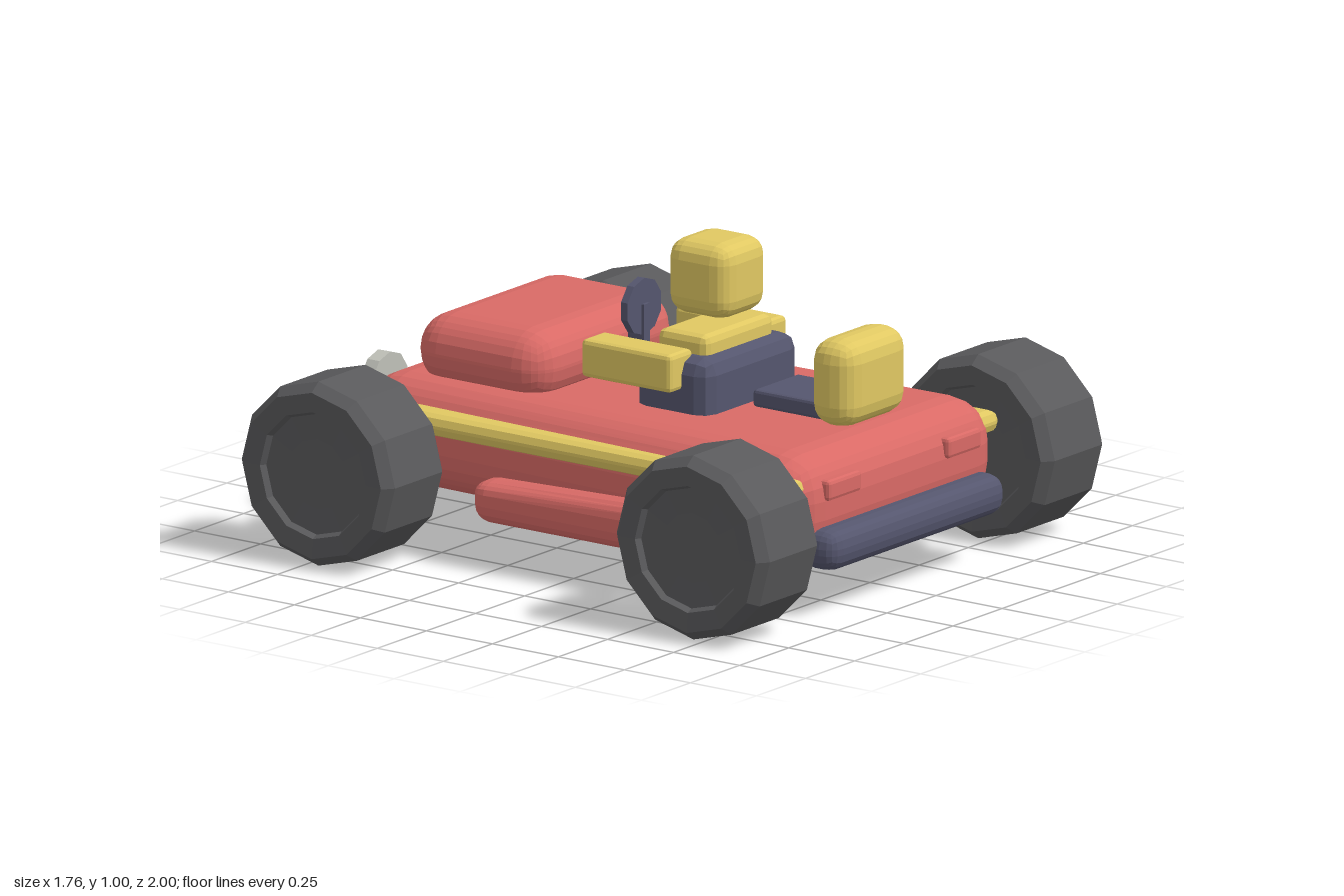
import * as THREE from 'three';
import { RoundedBoxGeometry } from 'three/addons/geometries/RoundedBoxGeometry.js';

const paint = (color) => new THREE.MeshStandardMaterial({ color, flatShading: true });

export function createModel() {
  const car = new THREE.Group();
  car.name = 'buggy';
  const red = paint(0xd96a66);
  const yellow = paint(0xe0c862);
  const navy = paint(0x55566e);
  const rubber = paint(0x5a5a5c);
  const glass = paint(0xbfc0b8);

  function add(name, geometry, material, x = 0, y = 0, z = 0) {
    const mesh = new THREE.Mesh(geometry, material);
    mesh.name = name;
    mesh.position.set(x, y, z);
    car.add(mesh);
    return mesh;
  }

  // Rounded block given by its limits on each axis
  function block(name, material, [x0, x1], [y0, y1], [z0, z1], radius, segments = 2) {
    const geometry = new RoundedBoxGeometry(x1 - x0, y1 - y0, z1 - z0, segments, radius);
    return add(name, geometry, material, (x0 + x1) / 2, (y0 + y1) / 2, (z0 + z1) / 2);
  }

  // Moves every vertex of a mesh by a rule
  function reshape(mesh, rule) {
    const pos = mesh.geometry.attributes.position;
    const v = new THREE.Vector3();
    for (let i = 0; i < pos.count; i++) {
      rule(v.fromBufferAttribute(pos, i));
      pos.setXYZ(i, v.x, v.y, v.z);
    }
    mesh.geometry.computeVertexNormals();
  }

  // Body, narrowing towards -z
  const body = block('body', red, [-0.505, 0.505], [0.16, 0.5], [-0.875, 0.87], 0.14, 3);
  reshape(body, (v) => { v.x *= 1 + 0.06 * v.z / 0.87; });
  block('hood', red, [-0.365, 0.365], [0.455, 0.685], [-0.735, -0.228], 0.11, 3);

  // Bumpers
  block('frontBumper', navy, [-0.45, 0.45], [0.15, 0.28], [0.8, 0.945], 0.055);
  block('rearBumper', navy, [-0.45, 0.45], [0.15, 0.28], [-0.945, -0.8], 0.055);

  // Seat, driver's trunk and head
  block('seat', navy, [-0.24, 0.24], [0.42, 0.67], [0.03, 0.31], 0.05, 1);
  block('torso', yellow, [-0.175, 0.175], [0.62, 0.73], [0.07, 0.26], 0.025, 1);
  block('head', yellow, [-0.118, 0.118], [0.762, 0.998], [0.052, 0.288], 0.06);

  // Engine block and its plate
  block('enginePlate', navy, [-0.115, 0.115], [0.52, 0.575], [0.39, 0.68], 0.01, 1);
  block('engine', yellow, [-0.165, 0.165], [0.51, 0.785], [0.625, 0.79], 0.07);

  // Steering wheel and column
  const disc = new THREE.CylinderGeometry(0.09, 0.09, 0.025, 10).rotateX(Math.PI / 2);
  add('steeringWheel', disc, navy, 0, 0.73, -0.117);
  add('steeringColumn', new THREE.BoxGeometry(0.03, 0.18, 0.06), navy, 0, 0.65, -0.125);

  // Wheel profile: chamfered tread with a dished hub on both sides
  const half = [[0, 0.125], [0.11, 0.125], [0.19, 0.13], [0.2, 0.15], [0.262, 0.155], [0.29, 0.12]];
  const profile = [
    ...half.map(([r, h]) => new THREE.Vector2(r, -h)),
    ...half.slice().reverse().map(([r, h]) => new THREE.Vector2(r, h)),
  ];
  const wheel = new THREE.LatheGeometry(profile, 12).rotateZ(Math.PI / 2);
  const lamp = new THREE.CylinderGeometry(0.093, 0.093, 0.045, 10).rotateX(Math.PI / 2);

  // Mirrored parts
  for (const [side, s] of [['left', 1], ['right', -1]]) {
    const span = (a, b) => (s > 0 ? [a, b] : [-b, -a]);
    add(side + 'FrontWheel', wheel, rubber, s * 0.725, 0.29, 0.71);
    add(side + 'RearWheel', wheel, rubber, s * 0.725, 0.29, -0.71);
    add(side + 'Headlight', lamp, glass, s * 0.258, 0.425, -0.898);
    block(side + 'TailLight', red, span(0.22, 0.39), [0.36, 0.425], [0.83, 0.885], 0.012, 1);
    block(side + 'Trim', yellow, span(0.43, 0.548), [0.37, 0.44], [-0.85, 0.84], 0.03, 1);
    block(side + 'Arm', yellow, span(0.18, 0.298), [0.57, 0.69], [-0.125, 0.215], 0.015, 1);

    // Side pod, its top sloping down towards -z
    const pod = block(side + 'SidePod', red, span(0.33, 0.58), [0.135, 0.3], [-0.345, 0.41], 0.06);
    reshape(pod, (v) => { if (v.y > 0) v.y *= 1 - 0.4 * (0.378 - v.z) / 0.755; });
  }
  return car;
}
